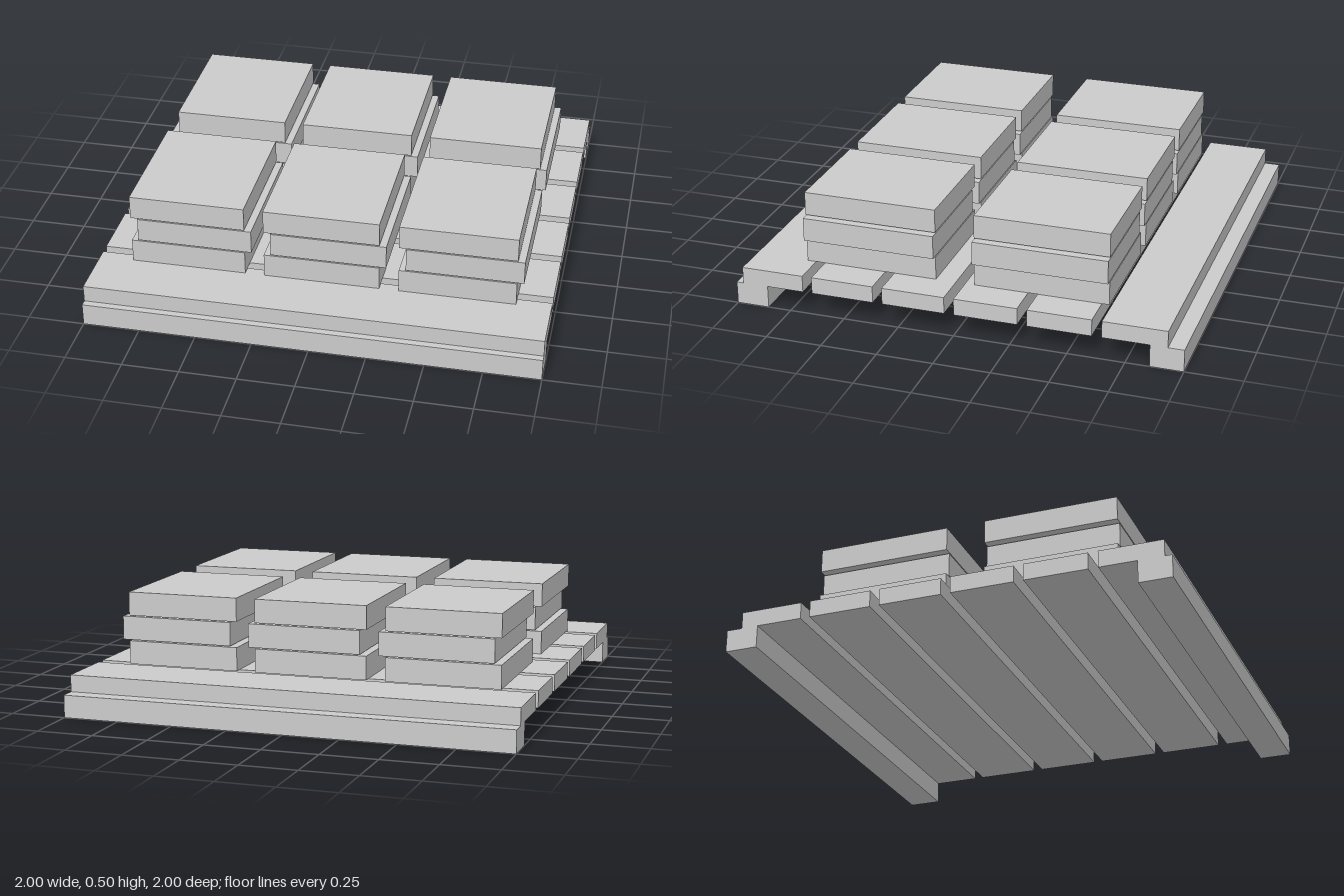
import * as THREE from 'three';

export function createModel() {
  const model = new THREE.Group();
  model.name = 'loadedPallet';
  const material = new THREE.MeshStandardMaterial({ color: 0xcccccc, flatShading: true });

  // Box placed by its centre in x and z and by its underside in y
  function addBox(parent, name, [w, h, d], [x, bottom, z]) {
    const mesh = new THREE.Mesh(new THREE.BoxGeometry(w, h, d), material);
    mesh.name = name;
    mesh.position.set(x, bottom + h / 2, z);
    parent.add(mesh);
  }

  const pallet = new THREE.Group();
  pallet.name = 'pallet';
  model.add(pallet);

  // Two runners carry the pallet along its front and back edges
  for (const side of [1, -1]) {
    addBox(pallet, side > 0 ? 'frontRunner' : 'backRunner', [2, 0.1, 0.146], [0, 0, side * 0.927]);
  }

  // Six deck slats, evenly spaced from front to back
  for (let i = 0; i < 6; i++) {
    addBox(pallet, `deckSlat${i + 1}`, [2, 0.075, 0.281], [0, 0.1, 0.828 - i * 0.3235]);
  }

  // Two rows of three stacks; the middle sack of each stack is shifted sideways
  for (const [row, z] of [['front', 0.429], ['back', -0.341]]) {
    for (let col = 0; col < 3; col++) {
      const stack = new THREE.Group();
      stack.name = `${row}Stack${col + 1}`;
      stack.position.set((col - 1) * 0.594, 0.175, z);
      for (let layer = 0; layer < 3; layer++) {
        const shift = layer === 1 ? 0.03 : 0;
        addBox(stack, `sack${layer + 1}`, [0.509, 0.105, 0.596], [shift, layer * 0.11, 0]);
      }
      model.add(stack);
    }
  }

  return model;
}
